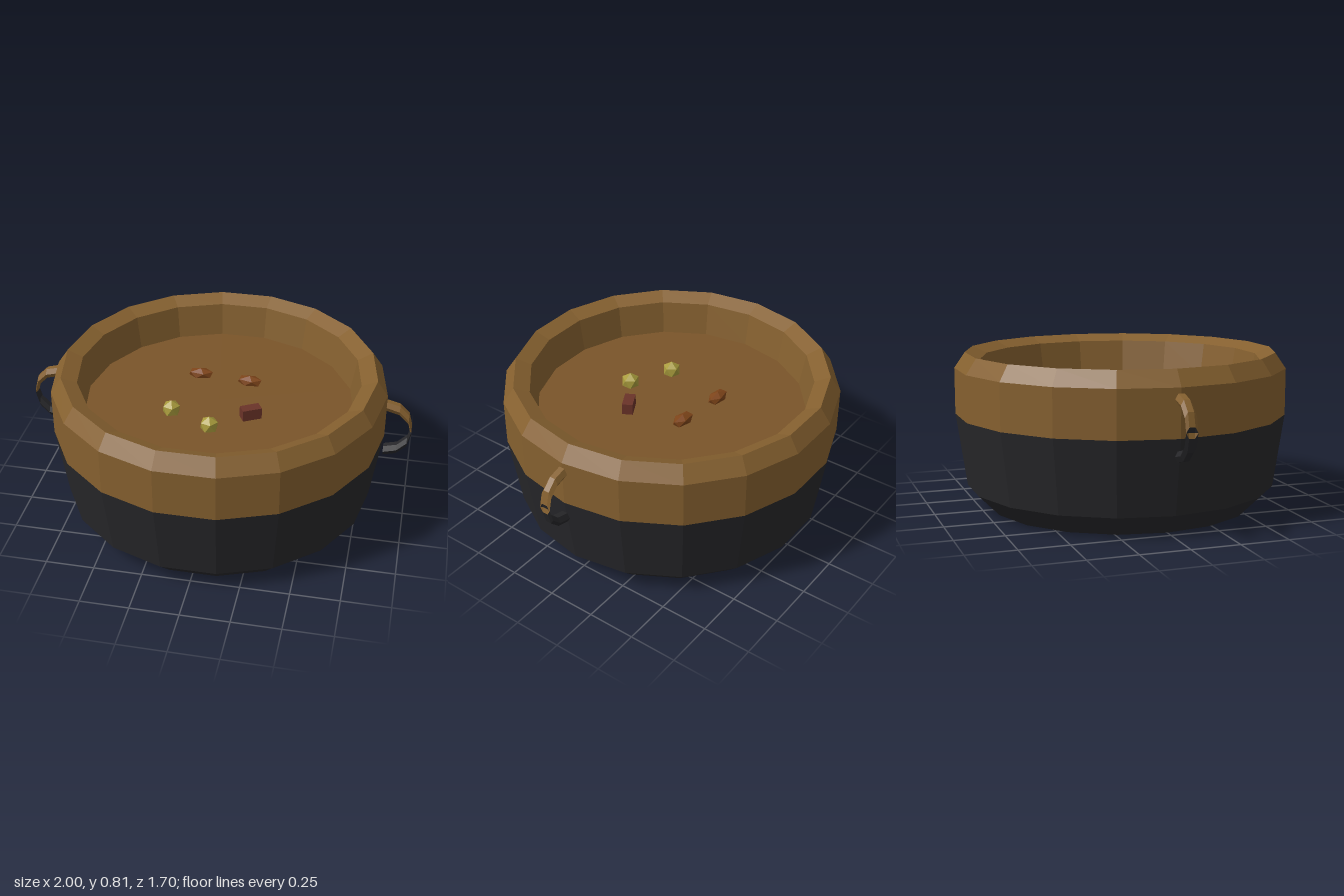
import * as THREE from 'three';
import { ParametricGeometry } from 'three/addons/geometries/ParametricGeometry.js';

const SIDES = 18;
const BROWN = 0x85602f, BLACK = 0x27272a;

function createMesh(name, geometry, color, side = THREE.FrontSide) {
  const material = new THREE.MeshStandardMaterial({ color, flatShading: true, side });
  const mesh = new THREE.Mesh(geometry, material);
  mesh.name = name;
  return mesh;
}

// Faceted ring turned from [radius, height] pairs, with a corner on the x axis
function turned(profile) {
  return new THREE.LatheGeometry(profile.map(([r, y]) => new THREE.Vector2(r, y)), SIDES, Math.PI / 2);
}

// Quarter of a handle: an upright hexagonal section slid along an arc without turning
function handleQuarter(side, from, to) {
  const arc = 0.135, tube = 0.03;
  return new ParametricGeometry((u, v, target) => {
    const a = u * Math.PI * 2, b = THREE.MathUtils.lerp(from, to, v);
    target.set(
      side * (0.865 + arc * Math.cos(b)),
      0.542 + arc * Math.sin(b) + tube * Math.sin(a),
      tube * Math.cos(a)
    );
  }, 6, 3);
}

// Icosahedron standing on a point
function chunk(r) {
  return new THREE.IcosahedronGeometry(r, 0).rotateZ(-Math.atan(2 / (1 + Math.sqrt(5))));
}

export function createModel() {
  const model = new THREE.Group();
  model.name = 'stewPot';

  // Pot: dark base, brown upper band with bevelled rim and inner wall
  model.add(createMesh('potBase', turned([[0, 0], [0.7, 0], [0.81, 0.11], [0.865, 0.49]]), BLACK));
  model.add(createMesh('potRim', turned([
    [0.865, 0.49], [0.865, 0.73], [0.81, 0.81], [0.73, 0.775], [0.7, 0.6]
  ]), BROWN));

  // Stew surface
  const stew = createMesh('stewSurface', new THREE.CircleGeometry(0.7, SIDES).rotateX(-Math.PI / 2), 0x7a5429);
  stew.position.y = 0.6;
  model.add(stew);

  // Handles: brown upper half, dark lower half
  for (const [name, side] of [['leftHandle', 1], ['rightHandle', -1]]) {
    const handle = new THREE.Group();
    handle.name = name;
    handle.add(
      createMesh('handleTop', handleQuarter(side, Math.PI / 2, 0), BROWN, THREE.DoubleSide),
      createMesh('handleBottom', handleQuarter(side, 0, -Math.PI / 2), BLACK, THREE.DoubleSide)
    );
    model.add(handle);
  }

  // Potatoes
  for (const [x, z] of [[-0.22, 0.16], [0, 0.27]]) {
    const potato = createMesh('potato', chunk(0.05), 0xa89b3c);
    potato.position.set(x, 0.62, z);
    model.add(potato);
  }

  // Meat pieces
  for (const [x, z, turn] of [[-0.14, -0.195, 0], [0.13, -0.168, -0.1]]) {
    const meat = createMesh('meat', chunk(0.05), 0x7d4419);
    meat.scale.set(1.45, 0.6, 0.8);
    meat.position.set(x, 0.63, z);
    meat.rotation.y = turn;
    model.add(meat);
  }

  // Diced piece
  const cube = createMesh('dicedPiece', new THREE.BoxGeometry(0.1, 0.06, 0.055), 0x6a3328);
  cube.position.set(0.188, 0.632, 0.133);
  cube.rotation.y = 0.5;
  model.add(cube);

  return model;
}
